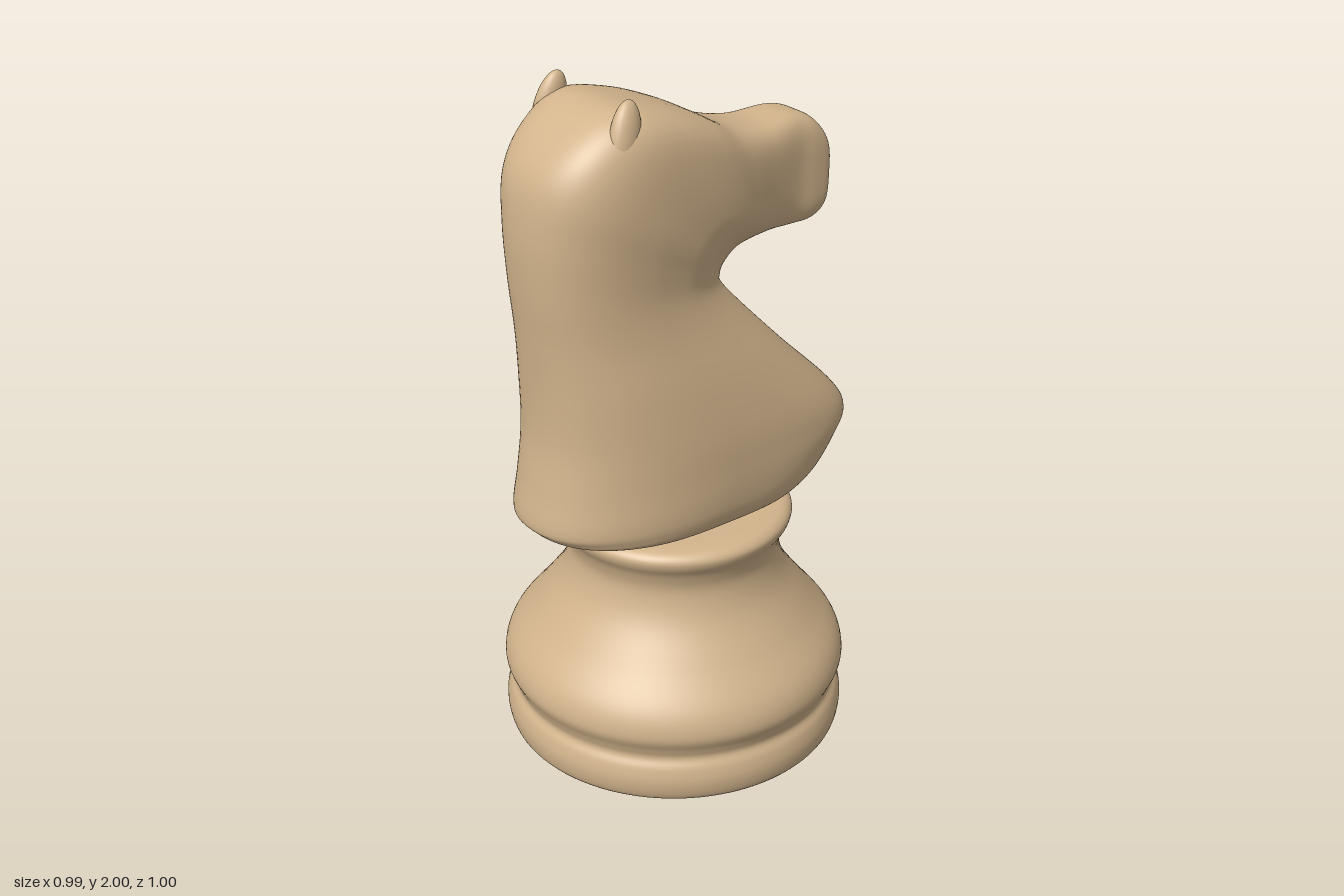
import * as THREE from 'three';

const material = new THREE.MeshStandardMaterial({ color: 0xd2b48c });

// Paired stations, chest to nose: back z, y, half width; front z, y, half width; back roundness
const stations = [
  [0.24, 0.722, 0.20, -0.22, 0.722, 0.20, 2.5],
  [0.44, 0.762, 0.25, -0.31, 0.738, 0.24, 2.4],
  [0.49, 0.787, 0.27, -0.40, 0.79, 0.255, 2.3],
  [0.502, 0.82, 0.277, -0.465, 0.875, 0.265, 2.3],
  [0.485, 0.92, 0.277, -0.498, 0.94, 0.265, 2.3],
  [0.468, 1.05, 0.272, -0.45, 1.02, 0.255, 2.3],
  [0.47, 1.20, 0.25, -0.29, 1.18, 0.215, 2.3],
  [0.482, 1.35, 0.22, -0.15, 1.33, 0.165, 2.3],
  [0.497, 1.50, 0.207, -0.093, 1.40, 0.14, 2.4],
  [0.502, 1.66, 0.212, -0.09, 1.425, 0.135, 2.5],
  [0.48, 1.80, 0.222, -0.10, 1.44, 0.13, 2.8],
  [0.40, 1.90, 0.222, -0.115, 1.455, 0.13, 3.5],
  [0.28, 1.965, 0.22, -0.13, 1.463, 0.125, 4],
  [0.14, 1.945, 0.21, -0.145, 1.47, 0.12, 4],
  [0.0, 1.89, 0.19, -0.17, 1.476, 0.115, 4],
  [-0.12, 1.825, 0.16, -0.21, 1.48, 0.11, 4],
  [-0.24, 1.797, 0.125, -0.28, 1.482, 0.105, 4],
  [-0.36, 1.80, 0.10, -0.36, 1.476, 0.10, 4],
  [-0.43, 1.78, 0.098, -0.43, 1.476, 0.098, 4],
  [-0.48, 1.725, 0.09, -0.475, 1.505, 0.09, 4],
  [-0.499, 1.66, 0.06, -0.497, 1.57, 0.06, 3],
];

function spline(pick) {
  return new THREE.CatmullRomCurve3(stations.map((s) => new THREE.Vector3(...pick(s))), false, 'catmullrom', 0.5);
}

// Rounded sections fanned between the mane line and the chest/throat line
function horseGeometry() {
  const back = spline((s) => [s[2], s[1], s[0]]);
  const front = spline((s) => [s[5], s[4], s[3]]);
  const round = spline((s) => [s[6], 0, 0]);
  const rows = 120, cols = 96, split = 0.5;
  const position = [], index = [];
  for (let i = -1; i <= rows + 1; i++) {
    const t = THREE.MathUtils.clamp(i / rows, 0, 1);
    const scale = i < 0 || i > rows ? 0 : 1; // collapsed rows close the ends
    const b = back.getPoint(t), f = front.getPoint(t), nBack = round.getPoint(t).x;
    for (let j = 0; j < cols; j++) {
      const a = (j / cols) * Math.PI * 2, c = Math.cos(a), s = Math.sin(a);
      const n = c > 0 ? nBack : 4.5;
      const along = Math.sign(c) * Math.abs(c) ** (2 / n) * scale;
      const across = Math.sign(s) * Math.abs(s) ** (2 / n) * scale;
      const u = split - along * split;
      const width = along > 0 ? b.x : THREE.MathUtils.lerp(b.x, f.x, along * along);
      position.push(across * width, THREE.MathUtils.lerp(b.y, f.y, u), THREE.MathUtils.lerp(b.z, f.z, u));
    }
  }
  for (let i = 0; i < rows + 2; i++) {
    for (let j = 0; j < cols; j++) {
      const k = (j + 1) % cols;
      const p = i * cols + j, q = i * cols + k, r = p + cols, s = q + cols;
      index.push(p, q, r, q, s, r);
    }
  }
  const geometry = new THREE.BufferGeometry();
  geometry.setAttribute('position', new THREE.Float32BufferAttribute(position, 3));
  geometry.setIndex(index);
  geometry.computeVertexNormals();
  return geometry;
}

// Turned pedestal, flat underneath
function baseGeometry() {
  const profile = new THREE.SplineCurve([
    [0.455, 0], [0.485, 0.02], [0.495, 0.07], [0.487, 0.115], [0.472, 0.145], [0.479, 0.175],
    [0.496, 0.225], [0.475, 0.295], [0.40, 0.39], [0.33, 0.49], [0.303, 0.575], [0.313, 0.635],
    [0.334, 0.675], [0.336, 0.7], [0.315, 0.718], [0.27, 0.724],
  ].map(([x, y]) => new THREE.Vector2(x, y)));
  const points = [new THREE.Vector2(0, 0), new THREE.Vector2(0.45, 0),
    ...profile.getPoints(75), new THREE.Vector2(0, 0.725)];
  return new THREE.LatheGeometry(points, 96);
}

export function createModel() {
  const group = new THREE.Group();
  const add = (name, geometry) => {
    const mesh = new THREE.Mesh(geometry, material);
    mesh.name = name;
    group.add(mesh);
    return mesh;
  };

  add('base', baseGeometry());
  add('horseBody', horseGeometry());

  // Small rounded ears
  for (const side of [1, -1]) {
    const ear = add(side > 0 ? 'leftEar' : 'rightEar', new THREE.SphereGeometry(1, 24, 16));
    ear.scale.set(0.032, 0.1, 0.045);
    ear.position.set(side * 0.158, 1.904, 0.285);
    ear.rotation.set(-0.25, 0, side * 0.12);
  }
  return group;
}
